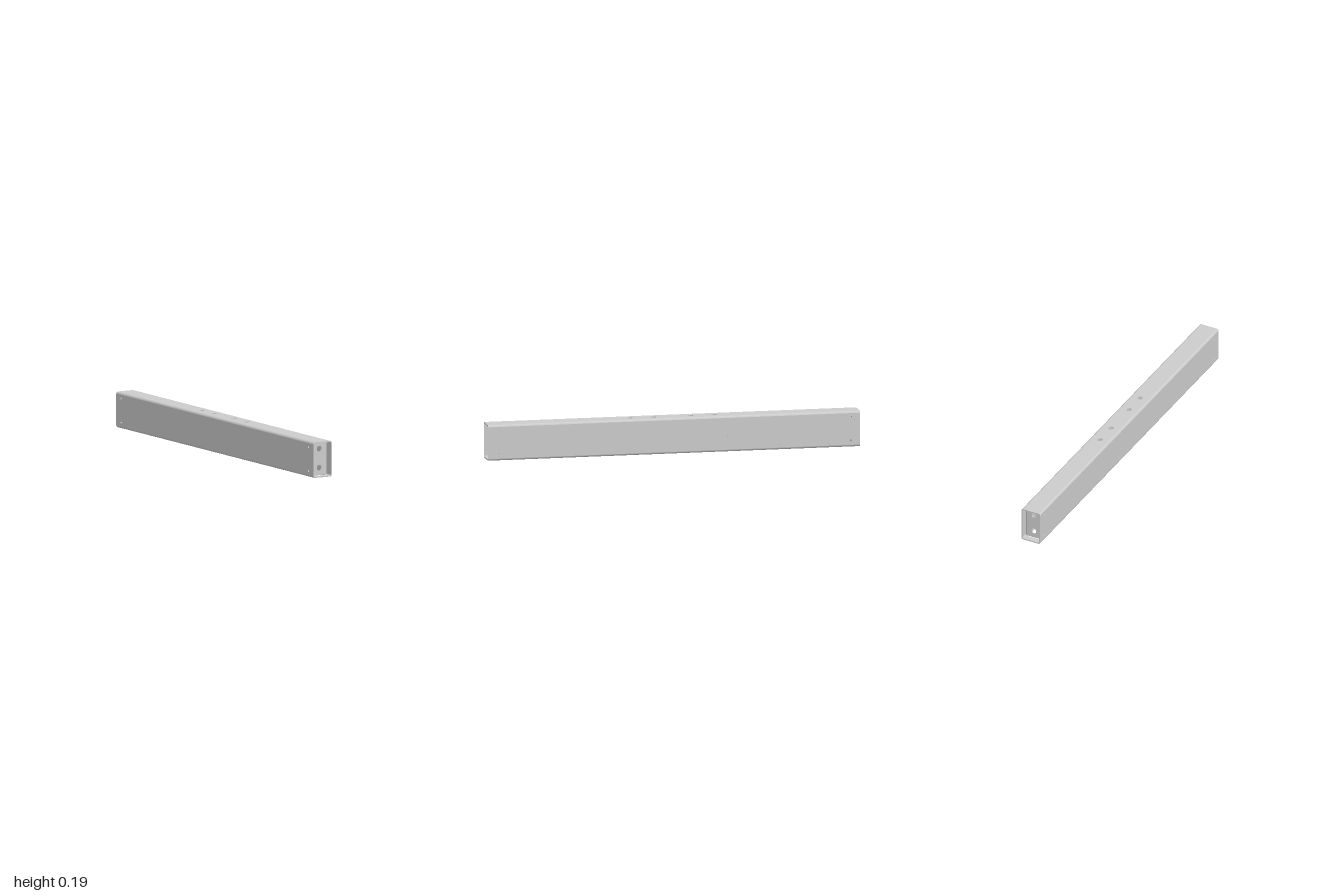
import * as THREE from 'three';
import { toCreasedNormals } from 'three/addons/utils/BufferGeometryUtils.js';

const W = 0.112, H = 0.19, L = 2;  // outer size of the tube
const T = 0.006, R = 0.01;         // wall thickness, corner radius
const material = new THREE.MeshStandardMaterial({ color: 0xcccccc });

// Rounded opening centred on (x, y); a circle when w = h = 2r
function opening(x, y, w, h = w, r = Math.min(w, h) / 2) {
  const p = new THREE.Path();
  const a = w / 2 - r, b = h / 2 - r;
  p.absarc(x + a, y + b, r, 0, Math.PI / 2);
  p.absarc(x - a, y + b, r, Math.PI / 2, Math.PI);
  p.absarc(x - a, y - b, r, Math.PI, Math.PI * 1.5);
  p.absarc(x + a, y - b, r, Math.PI * 1.5, Math.PI * 2);
  p.closePath();
  return p;
}

function extrude(shape, depth) {
  const g = new THREE.ExtrudeGeometry(shape, { depth, bevelEnabled: false, curveSegments: 8 });
  g.translate(0, 0, -depth / 2);
  return toCreasedNormals(g, 0.6);
}

// Flat sheet in the XY plane with openings
function sheet(w, h, holes = []) {
  const s = new THREE.Shape();
  s.moveTo(-w / 2, -h / 2).lineTo(w / 2, -h / 2).lineTo(w / 2, h / 2).lineTo(-w / 2, h / 2);
  s.closePath();
  s.holes.push(...holes);
  return extrude(s, T);
}

// Quarter-round bend around the local Z axis
function bend(radius, start, length) {
  const s = new THREE.Shape();
  s.absarc(0, 0, radius, start, start + Math.PI / 2, false);
  s.absarc(0, 0, radius - T, start + Math.PI / 2, start, true);
  s.closePath();
  return extrude(s, length);
}

function add(group, name, geometry, x, y, z) {
  const m = new THREE.Mesh(geometry, material);
  m.name = name;
  m.position.set(x, y, z);
  group.add(m);
}

function createTube() {
  const g = new THREE.Group();
  g.name = 'tube';

  // Side walls: screw holes at both ends, three larger holes on the left only
  const screws = [];
  for (const z of [-0.95, 0.95])
    for (const y of [-0.062, 0.065]) screws.push(opening(z, y, 0.012));
  const ports = [-0.277, 0, 0.277].map(z => opening(z, -0.015, 0.027));
  const side = holes => sheet(L, H - 2 * R, holes).rotateY(Math.PI / 2);
  add(g, 'leftWall', side([...screws, ...ports]), W / 2 - T / 2, H / 2, 0);
  add(g, 'rightWall', side(screws), -W / 2 + T / 2, H / 2, 0);

  // Top wall with four round holes, bottom wall with three long slots
  const flat = holes => sheet(W - 2 * R, L, holes).rotateX(-Math.PI / 2);
  const topHoles = [-0.225, -0.1, 0.1, 0.225].map(z => opening(0, z, 0.028));
  const slots = [-0.805, 0, 0.805].map(z => opening(0, z, 0.076, 0.325, 0.012));
  add(g, 'topWall', flat(topHoles), 0, H - T / 2, 0);
  add(g, 'bottomWall', flat(slots), 0, T / 2, 0);

  // Rounded long edges
  [[1, 1], [-1, 1], [-1, -1], [1, -1]].forEach(([sx, sy], i) =>
    add(g, 'roundedEdge', bend(R, i * Math.PI / 2, L),
      sx * (W / 2 - R), H / 2 + sy * (H / 2 - R), 0));
  return g;
}

// Channel-shaped end bracket, recessed in the tube with its flanges inward
function createEndBracket() {
  const g = new THREE.Group();
  g.name = 'endBracket';
  const half = W / 2 - T, h = H - 2 * T - 0.002, front = 0.965, r = 0.009;
  const back = 0.925, flange = front - r - back, mid = back + flange / 2;

  const holes = [-0.049, 0.052].map(y => opening(0, y, 0.026, 0.031));
  add(g, 'endPlate', sheet(2 * (half - r), h, holes), 0, H / 2, front - T / 2);

  for (const s of [-1, 1]) {
    const screws = [-0.062, 0.065].map(y => opening(mid - 0.949, y, 0.012));
    add(g, 'flange', sheet(flange, h, screws).rotateY(Math.PI / 2),
      s * (half - T / 2), H / 2, mid);
    const start = s > 0 ? -Math.PI / 2 : Math.PI;
    add(g, 'flangeBend', bend(r, start, h).rotateX(-Math.PI / 2),
      s * (half - r), H / 2, front - r);
  }
  return g;
}

export function createModel() {
  const model = new THREE.Group();
  model.name = 'perforatedBeam';
  model.add(createTube());
  for (const angle of [0, Math.PI]) {
    const bracket = createEndBracket();
    bracket.rotation.y = angle;
    model.add(bracket);
  }
  return model;
}
